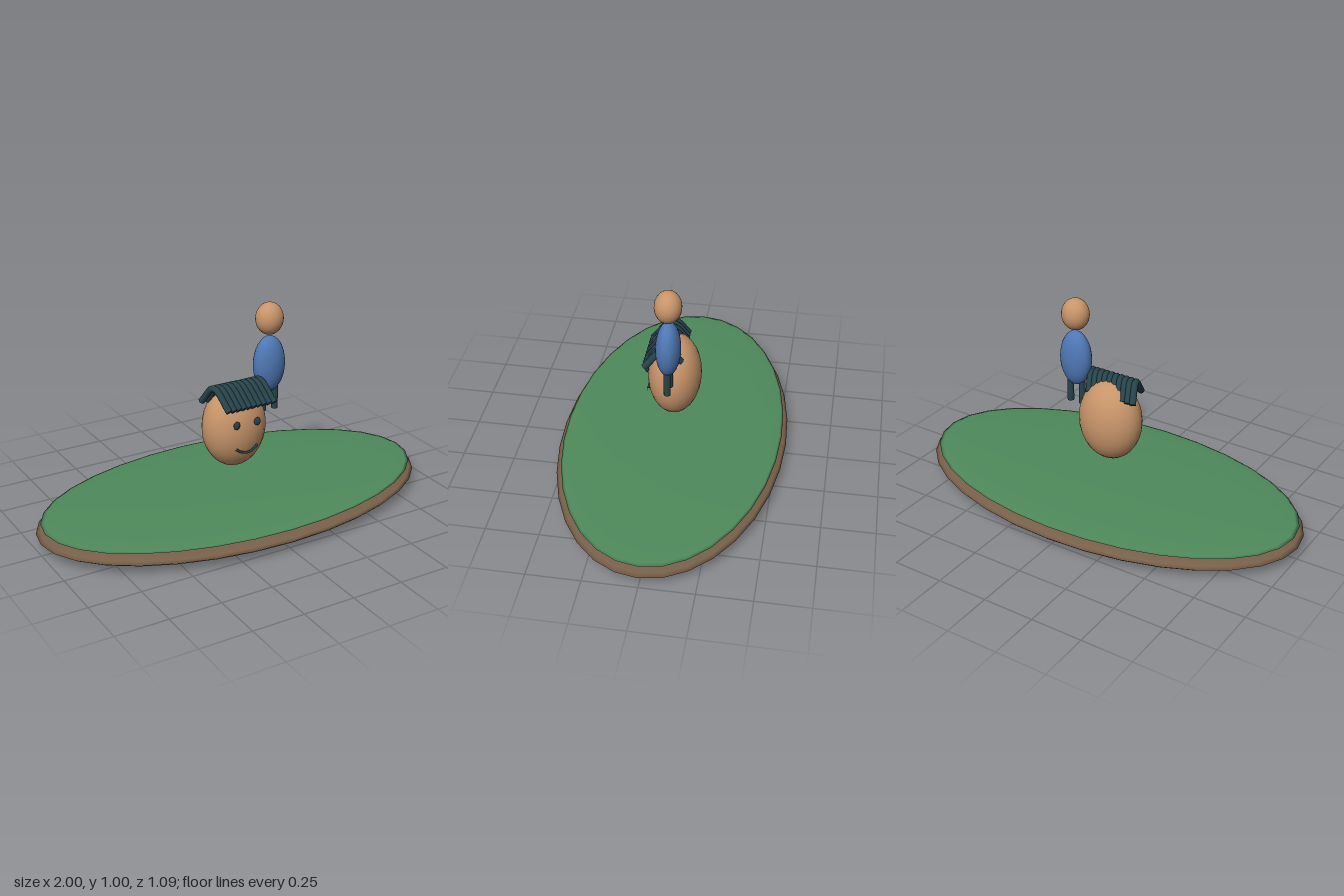
import * as THREE from 'three';

const mat = (name, color) => {
  const m = new THREE.MeshStandardMaterial({ color });
  m.name = name;
  return m;
};

export function createModel() {
  const skin = mat('skin', 0xc8956a);
  const shirt = mat('blue shirt', 0x4f78b5);
  const dark = mat('dark teal', 0x27434a);
  const grass = mat('grass green', 0x4f8a5b);
  const soil = mat('soil brown', 0x78604a);

  const model = new THREE.Group();
  model.name = 'islandWithFigures';

  const add = (parent, name, geometry, material, x = 0, y = 0, z = 0) => {
    const mesh = new THREE.Mesh(geometry, material);
    mesh.name = name;
    mesh.position.set(x, y, z);
    parent.add(mesh);
    return mesh;
  };
  const ellipsoid = (rx, ry, rz, w = 24, h = 16) =>
    new THREE.SphereGeometry(1, w, h).scale(rx, ry, rz);
  const group = (name) => {
    const g = new THREE.Group();
    g.name = name;
    model.add(g);
    return g;
  };

  // Flat oval island
  const island = group('island');
  add(island, 'soilDisc', ellipsoid(1, 0.057, 0.545, 32, 16), soil, 0, 0.059, 0);
  add(island, 'grassDisc', ellipsoid(0.977, 0.018, 0.522, 32, 16), grass, 0, 0.104, 0);

  // Large floating head with a face
  const head = group('largeHead');
  add(head, 'skull', ellipsoid(0.16, 0.204, 0.127), skin, 0, 0.425, 0);
  for (const s of [-1, 1]) {
    add(head, s > 0 ? 'leftEye' : 'rightEye', ellipsoid(0.017, 0.02, 0.009, 16, 12), dark, s * 0.055, 0.475, 0.123);
  }
  const smile = new THREE.QuadraticBezierCurve3(
    new THREE.Vector3(-0.057, 0.354, 0.119),
    new THREE.Vector3(0, 0.306, 0.134),
    new THREE.Vector3(0.057, 0.354, 0.119)
  );
  add(head, 'mouth', new THREE.TubeGeometry(smile, 16, 0.006, 8), dark);

  // Slanted locks of hair draped from back to front
  const hair = new THREE.Group();
  hair.name = 'hair';
  head.add(hair);
  const lock = new THREE.CatmullRomCurve3([
    new THREE.Vector3(-0.027, 0.56, -0.044),
    new THREE.Vector3(0, 0.64, 0.025),
    new THREE.Vector3(0.027, 0.549, 0.121)
  ]);
  const lockGeometry = new THREE.TubeGeometry(lock, 16, 0.016, 10);
  // End caps close each lock
  const caps = [0, 1].map((t) => {
    const dir = lock.getTangent(t).multiplyScalar(t ? 1 : -1);
    const q = new THREE.Quaternion().setFromUnitVectors(new THREE.Vector3(0, 0, 1), dir);
    return new THREE.CircleGeometry(0.016, 10).applyQuaternion(q).translate(...lock.getPoint(t).toArray());
  });
  const locks = 10;
  for (let i = 0; i < locks; i++) {
    const x = -0.121 + (0.242 * i) / (locks - 1);
    add(hair, 'lock', lockGeometry, dark, x);
    for (const cap of caps) add(hair, 'lockEnd', cap, dark, x);
  }

  // Small standing figure beside the head
  const figure = group('smallFigure');
  figure.position.x = 0.193;
  add(figure, 'figureHead', ellipsoid(0.068, 0.078, 0.063), skin, 0, 0.92, 0);
  add(figure, 'figureBody', ellipsoid(0.082, 0.139, 0.058), shirt, 0, 0.696, 0);
  for (const s of [-1, 1]) {
    add(figure, s > 0 ? 'leftLeg' : 'rightLeg', new THREE.CylinderGeometry(0.016, 0.016, 0.125, 12), dark, s * 0.033, 0.526, 0);
  }

  return model;
}
